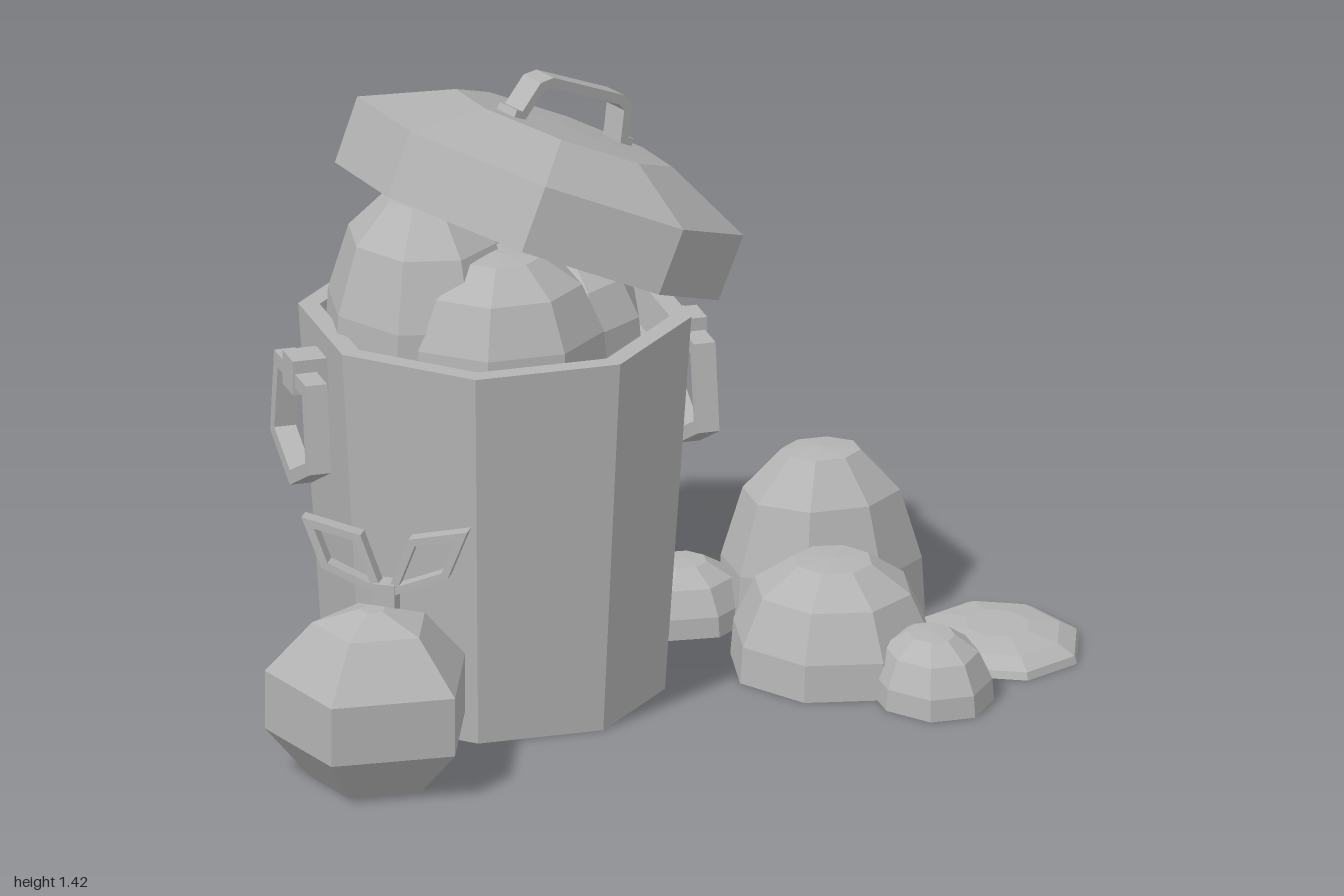
import * as THREE from 'three';

const grey = new THREE.MeshStandardMaterial({ color: 0xb4b4b4, flatShading: true, side: THREE.DoubleSide });
grey.name = 'plain grey';

function add(parent, name, geometry, x = 0, y = 0, z = 0) {
  const mesh = new THREE.Mesh(geometry, grey);
  mesh.name = name;
  mesh.position.set(x, y, z);
  parent.add(mesh);
  return mesh;
}

const lathe = (points, sides, start = 0) =>
  new THREE.LatheGeometry(points.map(([r, y]) => new THREE.Vector2(r, y)), sides, start);

const toShape = (pts) => new THREE.Shape(pts.map(([x, y]) => new THREE.Vector2(x, y)));

// Flat polygon plate with an optional polygon hole, centred on its thickness
function plate(outer, inner, depth) {
  const shape = toShape(outer);
  if (inner) shape.holes.push(toShape(inner));
  return new THREE.ExtrudeGeometry(shape, { depth, bevelEnabled: false }).translate(0, 0, -depth / 2);
}

// Faceted half-dome rubbish bag, open underneath
const domeProfile = [[1, 0], [0.97, 0.33], [0.76, 0.74], [0.38, 0.98], [0, 1]];
function bag(parent, name, [x, y, z], [rx, h, rz], turn) {
  const mesh = add(parent, name, lathe(domeProfile, 8, turn).scale(rx, h, rz), x, y, z);
  return mesh;
}

function createCan() {
  const can = new THREE.Group();
  can.name = 'can';
  can.position.set(-0.325, 0, -0.11);
  add(can, 'canBody', lathe([[0, 0], [0.379, 0], [0.438, 0.885], [0.39, 0.885], [0.375, 0.8], [0, 0.8]], 8, Math.PI / 8));

  // Hanging side handles with their clips
  const outer = [[-0.12, 0.8], [0.12, 0.8], [0.15, 0.6], [0, 0.523], [-0.15, 0.6]];
  const inner = [[-0.092, 0.768], [0.092, 0.768], [0.118, 0.617], [0, 0.558], [-0.118, 0.617]];
  for (const s of [-1, 1]) {
    const ring = add(can, 'sideHandle', plate(outer, inner, 0.05), s * 0.45);
    ring.rotation.y = Math.PI / 2;
    add(can, 'handleClip', new THREE.BoxGeometry(0.09, 0.08, 0.08), s * 0.435, 0.79, 0);
  }
  return can;
}

function createLid() {
  const lid = new THREE.Group();
  lid.name = 'lid';
  // Tilted frame: one octagon corner lies along local x
  const up = new THREE.Vector3(0.392, 0.911, -0.128).normalize();
  const side = new THREE.Vector3(0.394, -0.14, 0.17);
  side.addScaledVector(up, -side.dot(up)).normalize();
  const third = new THREE.Vector3().crossVectors(side, up);
  lid.quaternion.setFromRotationMatrix(new THREE.Matrix4().makeBasis(side, up, third));
  lid.position.set(-0.179, 1.19, -0.167);
  add(lid, 'lidShell', lathe([[0, -0.155], [0.452, -0.155], [0.455, 0], [0.255, 0.09], [0, 0.095]], 8));

  // Bent strap handle on top
  const strap = [[-0.19, 0], [-0.155, 0], [-0.13, 0.075], [-0.11, 0.085], [0.11, 0.085], [0.13, 0.075], [0.155, 0],
    [0.19, 0], [0.19, 0.018], [0.172, 0.018], [0.148, 0.09], [0.115, 0.108], [-0.115, 0.108], [-0.148, 0.09],
    [-0.172, 0.018], [-0.19, 0.018]];
  const handle = add(lid, 'lidHandle', plate(strap, null, 0.06), 0, 0.09, 0);
  handle.rotation.y = Math.PI / 4;
  return lid;
}

function createTiedBag() {
  const tied = new THREE.Group();
  tied.name = 'tiedBag';
  tied.position.set(-0.755, 0, 0.375);
  const profile = [[0, 0], [0.14, 0], [0.24, 0.11], [0.24, 0.247], [0.135, 0.365], [0.03, 0.4], [0, 0.4]];
  const body = add(tied, 'tiedBagBody', lathe(profile, 5));
  body.rotation.y = Math.PI - 0.06;

  // Knot and two bow loops
  const bow = new THREE.Group();
  bow.name = 'bow';
  bow.position.set(0.045, 0.4, -0.045);
  bow.rotation.y = -0.55;
  tied.add(bow);
  add(bow, 'knot', new THREE.BoxGeometry(0.05, 0.07, 0.05), 0, 0.01, 0);
  for (const s of [-1, 1]) {
    const outer = [[0, 0.01], [0.145, 0.07], [0.19, 0.185], [0.055, 0.155]].map(([x, y]) => [s * x, y]);
    const inner = outer.map(([x, y]) => [s * 0.1 + (x - s * 0.1) * 0.68, 0.108 + (y - 0.108) * 0.68]);
    add(bow, 'bowLoop', plate(outer, inner, 0.035));
  }
  return tied;
}

export function createModel() {
  const model = new THREE.Group();
  model.name = 'rubbishCan';
  model.add(createCan(), createLid(), createTiedBag());

  // Rubbish bulging out of the can
  const fill = new THREE.Group();
  fill.name = 'canRubbish';
  model.add(fill);
  bag(fill, 'leftBag', [-0.49, 0.8, -0.12], [0.22, 0.38, 0.25], 0.2);
  bag(fill, 'frontBag', [-0.35, 0.8, 0.02], [0.24, 0.27, 0.21], 0.4);
  bag(fill, 'rightBag', [-0.16, 0.8, -0.17], [0.19, 0.2, 0.24], 0.1);
  bag(fill, 'backBag', [-0.38, 0.8, -0.29], [0.24, 0.3, 0.18], 0.3);

  // Heap of bags on the ground
  const heap = new THREE.Group();
  heap.name = 'bagHeap';
  model.add(heap);
  bag(heap, 'tallBag', [0.5, 0, -0.335], [0.235, 0.39, 0.2], 0.39);
  bag(heap, 'middleBag', [0.425, 0, 0], [0.235, 0.255, 0.25], 0.2);
  bag(heap, 'smallBackBag', [0.19, 0, -0.38], [0.15, 0.14, 0.15], 0.3);
  bag(heap, 'smallFrontBag', [0.58, 0, 0.24], [0.135, 0.15, 0.18], 0.39);
  bag(heap, 'flatBag', [0.81, 0, -0.015], [0.19, 0.052, 0.235], 0);
  return model;
}
